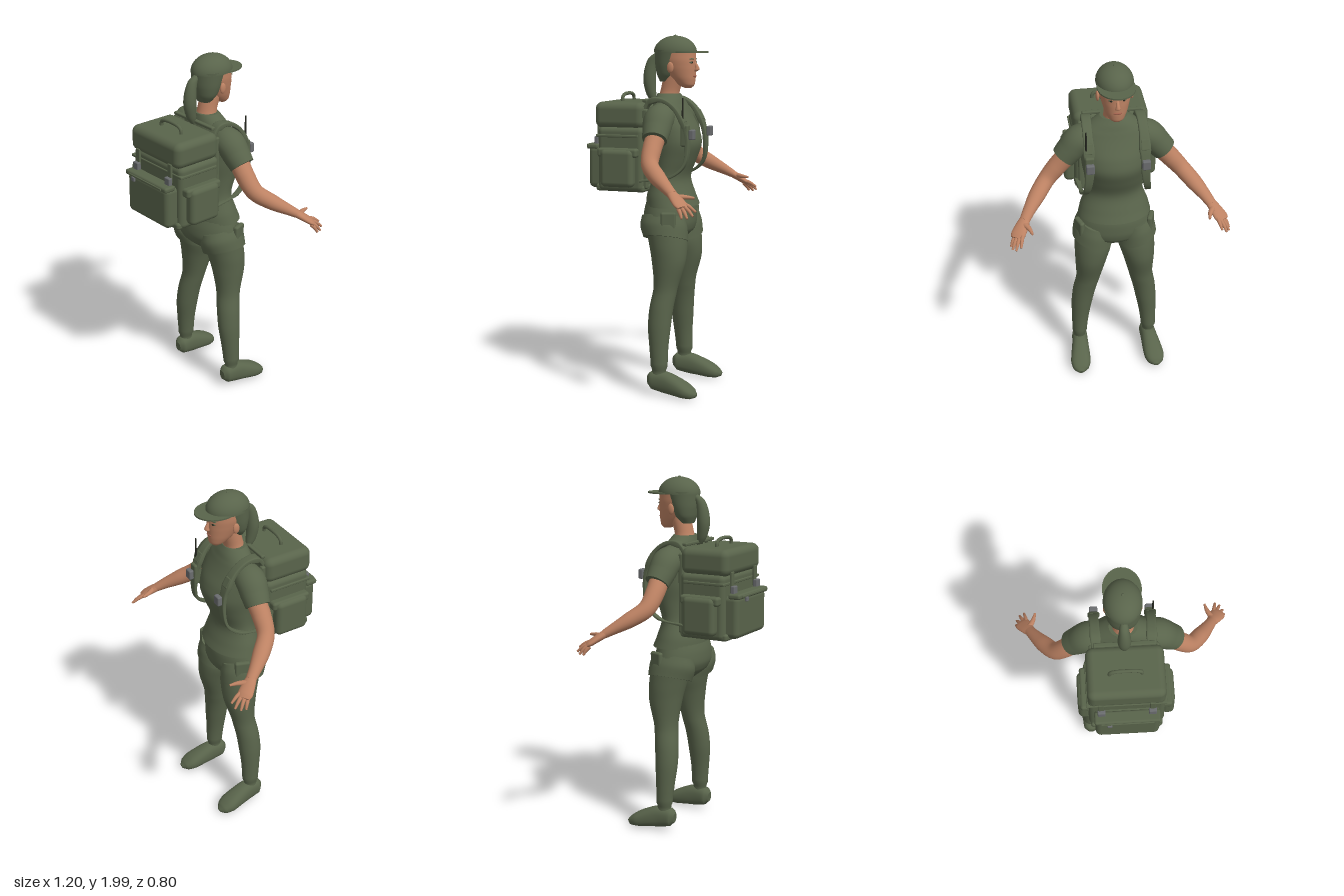
import * as THREE from 'three';
import { RoundedBoxGeometry } from 'three/addons/geometries/RoundedBoxGeometry.js';

const paint = (name, color) => {
  const m = new THREE.MeshStandardMaterial({ color });
  m.name = name;
  return m;
};
const V = (x, y, z) => new THREE.Vector3(x, y, z);
const X = V(1, 0, 0), UP = V(0, 1, 0), DOWN = V(0, -1, 0);

// Closed smooth skin through cross-sections [x, y, z, radiusU, radiusV].
// t fixes the section normal, u the section's first axis, pow squares the outline.
function loft(rows, { t, u, seg = 24, steps = 5, pow = 2 } = {}) {
  const path = new THREE.CatmullRomCurve3(rows.map(r => V(r[0], r[1], r[2])));
  const size = new THREE.CatmullRomCurve3(rows.map(r => V(r[3], r[4], 0)));
  const n = (rows.length - 1) * steps, pos = [], idx = [];
  const round = c => Math.sign(c) * Math.abs(c) ** (2 / pow);
  for (let i = 0; i <= n; i++) {
    const p = path.getPoint(i / n), r = size.getPoint(i / n);
    const T = (t || path.getTangent(i / n)).clone().normalize();
    const U = u ? u.clone().addScaledVector(T, -u.dot(T)).normalize() : UP.clone().cross(T).normalize();
    const W = T.clone().cross(U);
    for (let j = 0; j < seg; j++) {
      const a = j / seg * Math.PI * 2;
      const q = p.clone().addScaledVector(U, round(Math.cos(a)) * r.x).addScaledVector(W, round(Math.sin(a)) * r.y);
      pos.push(q.x, q.y, q.z);
    }
  }
  for (let i = 0; i < n; i++) for (let j = 0; j < seg; j++) {
    const a = i * seg + j, b = i * seg + (j + 1) % seg;
    idx.push(a, b, a + seg, b, b + seg, a + seg);
  }
  // End caps with their own vertices, so the rims stay sharp
  for (const [ring, end] of [[0, rows[0]], [n, rows[rows.length - 1]]]) {
    const base = pos.length / 3;
    for (let j = 0; j < seg * 3; j++) pos.push(pos[ring * seg * 3 + j]);
    pos.push(end[0], end[1], end[2]);
    for (let j = 0; j < seg; j++) {
      const a = base + j, b = base + (j + 1) % seg, c = base + seg;
      ring ? idx.push(a, b, c) : idx.push(b, a, c);
    }
  }
  const g = new THREE.BufferGeometry();
  g.setAttribute('position', new THREE.Float32BufferAttribute(pos, 3));
  g.setIndex(idx);
  g.computeVertexNormals();
  return g;
}

export function createModel() {
  const model = new THREE.Group();
  const green = paint('olive', 0x59644b), skin = paint('skin', 0xbd8263);
  const grey = paint('buckle grey', 0x6a6c6e), dark = paint('dark', 0x25271f), lip = paint('lips', 0xa3644f);
  const add = (name, geo, mat, x = 0, y = 0, z = 0) => {
    const m = new THREE.Mesh(geo, mat);
    m.name = name;
    m.position.set(x, y, z);
    model.add(m);
    return m;
  };
  // Rounded box given by its centre and size
  const box = (name, mat, x, y, z, w, h, d, r = 0.02) =>
    add(name, new RoundedBoxGeometry(w, h, d, 3, Math.min(r, w / 2.1, h / 2.1, d / 2.1)), mat, x, y, z);
  const ball = (name, mat, x, y, z, rx, ry, rz) => {
    const m = add(name, new THREE.SphereGeometry(1, 20, 14), mat, x, y, z);
    m.scale.set(rx, ry, rz);
    return m;
  };
  const upright = { t: UP, u: X, seg: 36 };

  // Shirt and shorts
  add('shirt', loft([
    [0, 1.06, -0.075, 0.203, 0.142], [0, 1.12, -0.065, 0.188, 0.128], [0, 1.22, -0.068, 0.157, 0.1],
    [0, 1.32, -0.085, 0.165, 0.12], [0, 1.41, -0.092, 0.18, 0.14], [0, 1.48, -0.085, 0.186, 0.13],
    [0, 1.55, -0.07, 0.192, 0.107], [0, 1.61, -0.06, 0.168, 0.088], [0, 1.65, -0.055, 0.118, 0.075],
    [0, 1.68, -0.05, 0.075, 0.062]], upright), green);
  add('shorts', loft([
    [0, 0.87, -0.07, 0.1, 0.07], [0, 0.92, -0.065, 0.19, 0.125], [0, 0.97, -0.06, 0.216, 0.14],
    [0, 1.03, -0.06, 0.204, 0.138], [0, 1.1, -0.06, 0.184, 0.12]], upright), green);

  // Head, hair and cap
  add('neck', loft([[0, 1.64, -0.045, 0.066, 0.06], [0, 1.7, -0.058, 0.054, 0.054], [0, 1.79, -0.085, 0.055, 0.06]], upright), skin);
  add('head', loft([
    [0, 1.712, -0.162, 0.022, 0.02], [0, 1.728, -0.152, 0.042, 0.046], [0, 1.765, -0.13, 0.061, 0.074],
    [0, 1.82, -0.108, 0.078, 0.098], [0, 1.87, -0.098, 0.087, 0.107], [0, 1.925, -0.095, 0.088, 0.107]], upright), skin);
  add('hair', loft([
    [0, 1.745, -0.035, 0.045, 0.035], [0, 1.785, -0.042, 0.074, 0.058], [0, 1.84, -0.052, 0.088, 0.078],
    [0, 1.92, -0.066, 0.096, 0.095]], upright), green);
  add('ponytail', loft([
    [0, 1.91, 0, 0.012, 0.02], [0, 1.87, 0.045, 0.024, 0.028], [0, 1.76, 0.066, 0.035, 0.036],
    [0, 1.67, 0.055, 0.024, 0.028], [0, 1.61, 0.032, 0.005, 0.006]], { t: DOWN, u: X }), green);
  const dome = add('cap', new THREE.SphereGeometry(1, 36, 14, 0, Math.PI * 2, 0, Math.PI / 2), green, 0, 1.905, -0.087);
  dome.scale.set(0.1, 0.092, 0.122);
  ball('cap button', green, 0, 1.997, -0.087, 0.008, 0.005, 0.008);
  const brim = add('cap brim', new THREE.CylinderGeometry(1, 1, 0.008, 40), green, 0, 1.908, -0.158);
  brim.scale.set(0.1, 1, 0.118);
  add('nose', loft([
    [0, 1.858, -0.198, 0.007, 0.006], [0, 1.825, -0.213, 0.011, 0.013], [0, 1.812, -0.213, 0.015, 0.014],
    [0, 1.803, -0.205, 0.01, 0.008]], { t: DOWN, u: X, seg: 14 }), skin);
  ball('mouth', lip, 0, 1.777, -0.2, 0.023, 0.008, 0.008);

  // Backpack
  box('pack body', green, 0, 1.32, 0.165, 0.41, 0.36, 0.27, 0.03);
  box('pack lid', green, 0, 1.563, 0.175, 0.41, 0.145, 0.29, 0.04);
  box('pack base', green, 0, 1.16, 0.17, 0.39, 0.04, 0.29, 0.015);
  box('back pocket', green, 0, 1.27, 0.32, 0.345, 0.235, 0.1, 0.03);
  box('pocket flap', green, 0, 1.385, 0.345, 0.35, 0.03, 0.07, 0.012);
  box('zip', green, 0, 1.385, 0.383, 0.28, 0.012, 0.008, 0.003);
  box('zip pull', grey, -0.095, 1.368, 0.386, 0.026, 0.026, 0.012, 0.004);
  box('compression strap', green, 0, 1.45, 0.18, 0.425, 0.016, 0.25, 0.005);
  add('carry handle', new THREE.TubeGeometry(new THREE.CatmullRomCurve3([
    V(-0.085, 1.625, 0.195), V(-0.08, 1.658, 0.195), V(-0.055, 1.672, 0.195),
    V(0.055, 1.672, 0.195), V(0.08, 1.658, 0.195), V(0.085, 1.625, 0.195)]), 40, 0.01, 10), green);
  box('collar strap', green, 0, 1.645, 0.035, 0.32, 0.018, 0.025, 0.006);

  // Radio on the chest strap
  box('radio', green, 0.15, 1.46, -0.2, 0.05, 0.12, 0.045, 0.01);
  add('radio antenna', new THREE.CylinderGeometry(0.004, 0.006, 0.16, 10), dark, 0.165, 1.585, -0.19);

  for (const s of [1, -1]) {
    const side = rows => rows.map(([x, ...rest]) => [x * s, ...rest]);

    // Face details
    ball('ear', skin, 0.09 * s, 1.825, -0.09, 0.01, 0.03, 0.019);
    const eye = ball('eye', green, 0.033 * s, 1.852, -0.193, 0.015, 0.006, 0.006);
    const pupil = ball('pupil', dark, 0.033 * s, 1.852, -0.197, 0.006, 0.006, 0.004);
    const brow = ball('eyebrow', green, 0.035 * s, 1.871, -0.195, 0.021, 0.004, 0.005);
    for (const m of [eye, pupil, brow]) m.rotation.y = -0.35 * s;

    // Arm and hand
    add('sleeve', loft(side([
      [0.1, 1.56, -0.06, 0.07, 0.07], [0.185, 1.545, -0.06, 0.083, 0.078], [0.235, 1.49, -0.065, 0.077, 0.074],
      [0.275, 1.443, -0.07, 0.068, 0.068]])), green);
    add('arm', loft(side([
      [0.24, 1.47, -0.068, 0.055, 0.055], [0.31, 1.385, -0.066, 0.052, 0.053], [0.37, 1.315, -0.08, 0.047, 0.048],
      [0.43, 1.26, -0.145, 0.046, 0.043], [0.485, 1.21, -0.22, 0.034, 0.03], [0.512, 1.182, -0.262, 0.029, 0.023]])), skin);
    add('palm', loft(side([
      [0.505, 1.19, -0.25, 0.028, 0.022], [0.53, 1.163, -0.288, 0.038, 0.02], [0.552, 1.138, -0.32, 0.042, 0.017],
      [0.563, 1.125, -0.337, 0.034, 0.012]])), skin);
    const fingers = [
      [0.528, 1.142, -0.33, 0.545, 1.105, -0.4], [0.545, 1.132, -0.335, 0.572, 1.085, -0.395],
      [0.56, 1.125, -0.328, 0.59, 1.075, -0.37], [0.572, 1.12, -0.315, 0.596, 1.075, -0.342]];
    for (const [x, y, z, a, b, c] of fingers) add('finger', loft(side([
      [x, y, z, 0.011, 0.011], [(x + a) / 2, (y + b) / 2 + 0.005, (z + c) / 2, 0.01, 0.01],
      [a, b, c, 0.006, 0.006]]), { seg: 10 }), skin);
    add('thumb', loft(side([
      [0.52, 1.175, -0.275, 0.018, 0.016], [0.492, 1.172, -0.325, 0.013, 0.012],
      [0.479, 1.168, -0.37, 0.006, 0.006]]), { seg: 12 }), skin);

    // Leg, shorts leg and shoe
    add('leg', loft(side([
      [0.122, 0.95, -0.075, 0.1, 0.115], [0.124, 0.85, -0.092, 0.104, 0.108], [0.137, 0.75, -0.1, 0.09, 0.095],
      [0.154, 0.6, -0.087, 0.069, 0.067], [0.175, 0.5, -0.072, 0.066, 0.067], [0.19, 0.4, -0.065, 0.061, 0.065],
      [0.202, 0.28, -0.066, 0.05, 0.054], [0.208, 0.17, -0.07, 0.043, 0.048], [0.21, 0.08, -0.068, 0.043, 0.048]]),
      { t: DOWN, u: X }), green);
    add('shorts leg', loft(side([
      [0.115, 1.0, -0.062, 0.09, 0.125], [0.122, 0.94, -0.066, 0.11, 0.135], [0.127, 0.88, -0.078, 0.117, 0.127]]),
      { t: V(0.32 * s, -1, 0), u: X }), green);
    box('cargo pocket', green, 0.2 * s, 0.985, -0.12, 0.03, 0.11, 0.085, 0.012).rotation.y = 0.35 * s;
    add('shoe', loft(side([
      [0.205, 0.085, -0.004, 0.02, 0.028], [0.206, 0.087, -0.03, 0.044, 0.052], [0.21, 0.082, -0.1, 0.048, 0.06],
      [0.216, 0.066, -0.17, 0.055, 0.052], [0.222, 0.048, -0.23, 0.058, 0.041], [0.226, 0.034, -0.272, 0.044, 0.027],
      [0.227, 0.028, -0.296, 0.014, 0.01]]), { pow: 2.4 }), green);

    // Shoulder strap, from pack over the shoulder and back under the arm
    add('shoulder strap', loft(side([
      [0.145, 1.56, 0.05, 0.025, 0.01], [0.145, 1.635, 0.01, 0.026, 0.012], [0.148, 1.65, -0.06, 0.026, 0.012],
      [0.15, 1.605, -0.14, 0.026, 0.012], [0.15, 1.5, -0.2, 0.026, 0.012], [0.152, 1.4, -0.215, 0.024, 0.011],
      [0.165, 1.29, -0.195, 0.018, 0.008], [0.182, 1.225, -0.11, 0.016, 0.007], [0.19, 1.205, 0.05, 0.016, 0.007]]),
      { u: X, pow: 5 }), green);
    box('strap pad', green, 0.15 * s, 1.555, -0.182, 0.045, 0.06, 0.02, 0.006).rotation.x = 0.5;
    box('chest buckle', grey, 0.15 * s, 1.465, -0.24, 0.045, 0.055, 0.028, 0.007);

    // Side pocket, lid straps and buckles
    box('side pocket', green, 0.225 * s, 1.275, 0.168, 0.07, 0.21, 0.195, 0.028);
    box('side pocket flap', green, 0.215 * s, 1.36, 0.168, 0.06, 0.05, 0.235, 0.015);
    box('lid strap', green, 0.135 * s, 1.46, 0.316, 0.03, 0.11, 0.014, 0.004);
    box('lid buckle', grey, 0.135 * s, 1.415, 0.328, 0.042, 0.05, 0.025, 0.006);
    box('pack frame', green, 0.17 * s, 1.38, 0.025, 0.03, 0.44, 0.03, 0.01);
  }
  return model;
}
